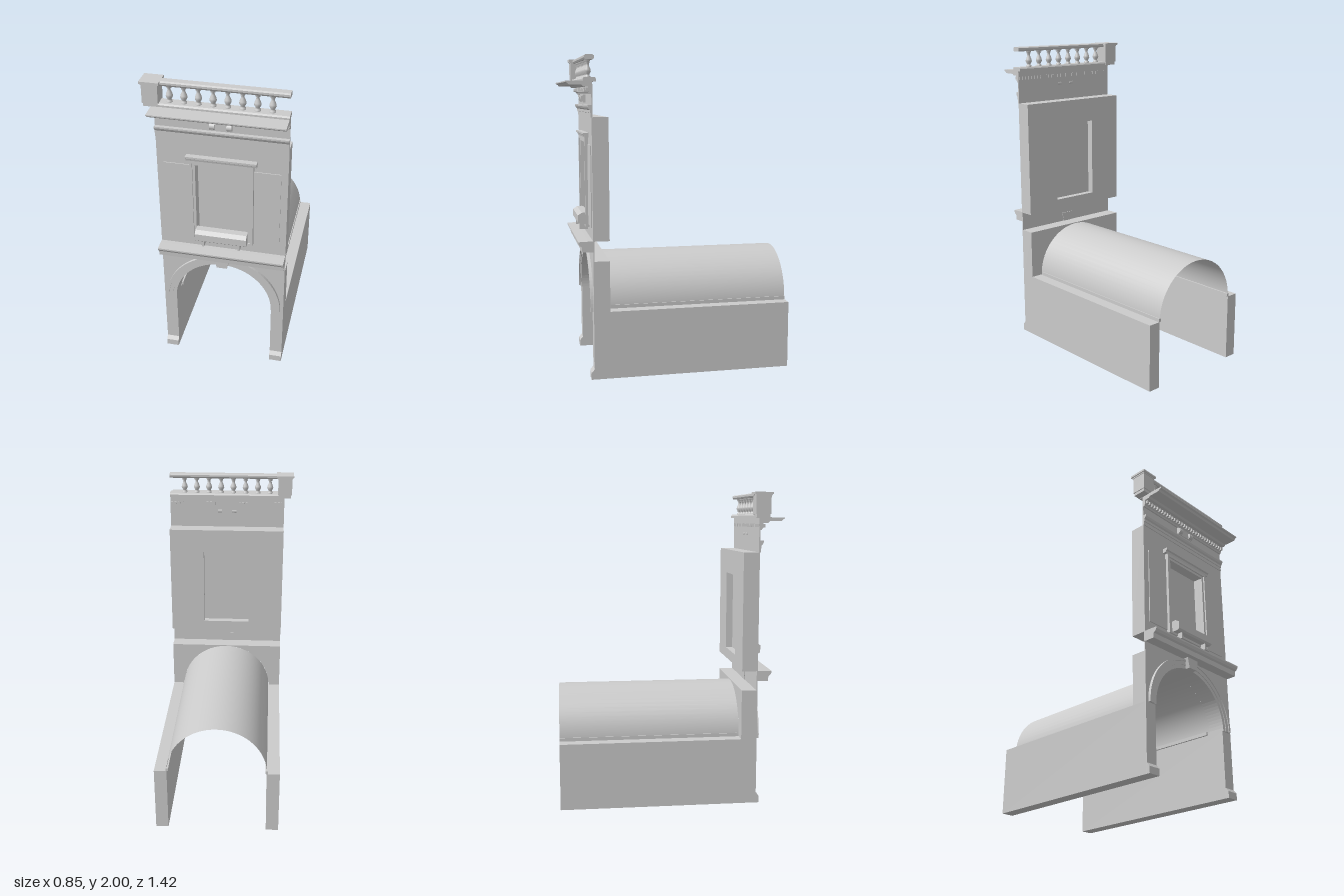
import * as THREE from 'three';

const material = new THREE.MeshStandardMaterial({ color: 0xcccccc });
const thinMaterial = new THREE.MeshStandardMaterial({ color: 0xcccccc, side: THREE.DoubleSide });

const HALF = 0.395;     // half width of the bay
const ARCH = 0.315;     // arch radius
const SPRING = 0.43;    // height of the arch springing
const FACE = 0.557;     // front plane of the wall
const SKIN = 0.55;      // back of the thin facing slab
const BLOCK = 0.455;    // back of the thick masonry
const BACK = -0.71;     // rear end of the passage

export function createModel() {
  const model = new THREE.Group();
  model.name = 'archedBay';
  const bay = new THREE.Group();
  bay.name = 'bay';
  bay.position.x = 0.03;
  model.add(bay);

  function add(name, geometry, mat = material) {
    const mesh = new THREE.Mesh(geometry, mat);
    mesh.name = name;
    bay.add(mesh);
    return mesh;
  }

  // Box given by its limits on each axis
  function box(name, x0, x1, y0, y1, z0, z1) {
    const g = new THREE.BoxGeometry(x1 - x0, y1 - y0, z1 - z0);
    g.translate((x0 + x1) / 2, (y0 + y1) / 2, (z0 + z1) / 2);
    return add(name, g);
  }

  // Front-facing outline extruded from z0 to z1
  function slab(name, shape, z0, z1) {
    const g = new THREE.ExtrudeGeometry(shape, { depth: z1 - z0, bevelEnabled: false, curveSegments: 24 });
    g.translate(0, 0, z0);
    return add(name, g);
  }

  // Moulding: (z, y) profile run along x
  function moulding(name, profile, x0, x1) {
    const shape = new THREE.Shape(profile.map(([z, y]) => new THREE.Vector2(z, y)));
    const g = new THREE.ExtrudeGeometry(shape, { depth: x1 - x0, bevelEnabled: false });
    g.rotateY(-Math.PI / 2);
    g.translate(x1, 0, 0);
    return add(name, g);
  }

  function rectPath(Type, x, y0, y1) {
    const p = new Type();
    p.moveTo(-x, y0);
    p.lineTo(x, y0);
    p.lineTo(x, y1);
    p.lineTo(-x, y1);
    p.closePath();
    return p;
  }

  // Wall outline with the arched opening cut from below
  function archedWall(bottom, top) {
    const s = new THREE.Shape();
    s.moveTo(-HALF, bottom);
    s.lineTo(-ARCH, bottom);
    if (bottom < SPRING) s.lineTo(-ARCH, SPRING);
    s.absarc(0, SPRING, ARCH, Math.PI, 0, true);
    if (bottom < SPRING) s.lineTo(ARCH, bottom);
    s.lineTo(HALF, bottom);
    s.lineTo(HALF, top);
    s.lineTo(-HALF, top);
    s.closePath();
    return s;
  }

  const windowHole = () => rectPath(THREE.Path, 0.16, 0.945, 1.47);

  // Thin facing slab over the full height
  const facing = archedWall(0, 1.845);
  facing.holes.push(windowHole());
  slab('facade', facing, SKIN, FACE);

  // Thick masonry behind the facing
  slab('archBlock', archedWall(SPRING, 0.75), BLOCK, SKIN);
  const upper = rectPath(THREE.Shape, HALF, 0.875, 1.63);
  upper.holes.push(windowHole());
  slab('upperBlock', upper, BLOCK, SKIN);

  // Passage walls, plinths and inner rails
  for (const s of [-1, 1]) {
    const a = s < 0 ? -HALF : ARCH;
    const b = s < 0 ? -ARCH : HALF;
    box('sideWall', a, b, 0, SPRING, BACK, SKIN);
    moulding('plinth', [[SKIN, 0], [0.577, 0], [0.577, 0.042], [FACE + 0.001, 0.065], [SKIN, 0.065]], a, b);
    const r = s * (ARCH - 0.003);
    box('springRail', r - 0.008, r + 0.008, 0.43, 0.452, BACK, 0.44);
  }

  // Barrel vault
  const vault = new THREE.CylinderGeometry(ARCH, ARCH, BLOCK - BACK, 32, 1, true, Math.PI / 2, Math.PI);
  vault.rotateX(Math.PI / 2);
  vault.translate(0, SPRING, (BLOCK + BACK) / 2);
  add('vault', vault, thinMaterial);

  // Stepped arch moulding and keystone
  for (const [r0, r1, z] of [[0.315, 0.337, 0.564], [0.337, 0.362, 0.569], [0.362, 0.376, 0.575]]) {
    const ring = new THREE.Shape();
    ring.absarc(0, SPRING, r1, 0, Math.PI, false);
    ring.absarc(0, SPRING, r0, Math.PI, 0, true);
    ring.closePath();
    slab('archMoulding', ring, FACE - 0.002, z);
  }
  const key = new THREE.Shape();
  key.moveTo(-0.033, 0.743);
  key.lineTo(0.033, 0.743);
  key.lineTo(0.048, 0.81);
  key.lineTo(-0.048, 0.81);
  key.closePath();
  slab('keystone', key, 0.546, 0.594);

  // String course between the storeys
  moulding('stringCourse', [[SKIN, 0.81], [0.624, 0.81], [0.626, 0.842], [0.638, 0.85],
    [0.647, 0.865], [0.647, 0.875], [0.585, 0.877], [SKIN, 0.877]], -HALF, HALF);

  // Window: pane, stepped frame, cap, side panels, sill box
  box('windowPane', -0.16, 0.16, 0.945, 1.47, 0.5, 0.505);
  for (const [outer, inner, z] of [[0.03, 0.016, 0.58], [0.016, 0, 0.571]]) {
    const frame = rectPath(THREE.Shape, 0.163 + outer, 0.965 - outer, 1.47 + outer);
    frame.holes.push(rectPath(THREE.Path, 0.16 + inner, 0.965 - inner, 1.467 + inner));
    slab('windowFrame', frame, FACE - 0.002, z);
  }
  moulding('windowCap', [[FACE, 1.5], [0.58, 1.5], [0.583, 1.512], [0.592, 1.518],
    [0.592, 1.53], [FACE, 1.53]], -0.213, 0.213);
  moulding('sillBox', [[FACE, 0.95], [0.615, 0.95], [0.626, 0.96], [0.626, 1.005],
    [0.6, 1.022], [FACE, 1.022]], -0.16, 0.16);
  for (const s of [-1, 1]) {
    box('sidePanel', s * 0.274 - 0.08, s * 0.274 + 0.08, 0.955, 1.46, FACE - 0.002, FACE + 0.006);
    box('sillBracket', s * 0.112 - 0.006, s * 0.112 + 0.006, 0.91, 0.955, FACE, 0.612);
  }

  // Architrave with fascias
  moulding('architrave', [[SKIN, 1.63], [0.562, 1.63], [0.562, 1.654], [0.566, 1.656], [0.566, 1.672],
    [0.574, 1.68], [0.58, 1.692], [0.58, 1.702], [SKIN, 1.702]], -HALF, HALF);

  // Frieze tablet with a scroll at each end
  box('friezeTablet', -0.065, 0.065, 1.715, 1.765, FACE - 0.002, 0.572);
  for (const s of [-1, 1]) {
    const scroll = new THREE.CylinderGeometry(0.021, 0.021, 0.03, 16);
    scroll.rotateZ(Math.PI / 2);
    scroll.translate(s * 0.05, 1.74, 0.568);
    add('tabletScroll', scroll);
  }

  // Crowning cornice with dentils
  moulding('corniceBed', [[SKIN, 1.768], [0.566, 1.768], [0.57, 1.778], [0.575, 1.782],
    [0.575, 1.815], [SKIN, 1.815]], -HALF, HALF);
  const dentils = 32;
  for (let i = 0; i < dentils; i++) {
    const x = -HALF + (i + 0.5) * (2 * HALF / dentils);
    box('dentil', x - 0.007, x + 0.007, 1.785, 1.806, 0.547, 0.59);
  }
  moulding('cornice', [[SKIN, 1.812], [0.605, 1.812], [0.615, 1.822], [0.69, 1.822],
    [0.698, 1.832], [0.711, 1.838], [0.711, 1.845], [SKIN, 1.848]], -HALF, HALF);

  // Balustrade: base, top rail, turned balusters
  moulding('balustradeBase', [[0.528, 1.842], [0.606, 1.842], [0.606, 1.858], [0.6, 1.867],
    [0.534, 1.867], [0.528, 1.858]], -HALF, HALF);
  moulding('topRail', [[0.543, 1.972], [0.592, 1.972], [0.598, 1.982], [0.598, 1.994],
    [0.588, 2], [0.547, 2], [0.537, 1.994], [0.537, 1.982]], -HALF, HALF);
  const turning = [[0.018, 0], [0.018, 0.01], [0.011, 0.014], [0.013, 0.022], [0.021, 0.038],
    [0.019, 0.05], [0.01, 0.072], [0.009, 0.085], [0.015, 0.089], [0.011, 0.094], [0.018, 0.098], [0.018, 0.108]]
    .map(([r, y]) => new THREE.Vector2(r, y));
  for (let i = 0; i < 8; i++) {
    const baluster = add('baluster', new THREE.LatheGeometry(turning, 12));
    baluster.position.set(-0.295 + i * 0.0842, 1.866, 0.567);
  }

  // End pedestal
  const pedestal = (name, half, y0, y1) =>
    box(name, -0.3975 - half, -0.3975 + half, y0, y1, 0.565 - half, 0.565 + half);
  pedestal('pedestalBase', 0.042, 1.845, 1.87);
  pedestal('pedestalBody', 0.047, 1.865, 1.985);
  pedestal('pedestalCap', 0.0575, 1.986, 2);
  pedestal('pedestalCapBed', 0.051, 1.978, 1.987);

  return model;
}
